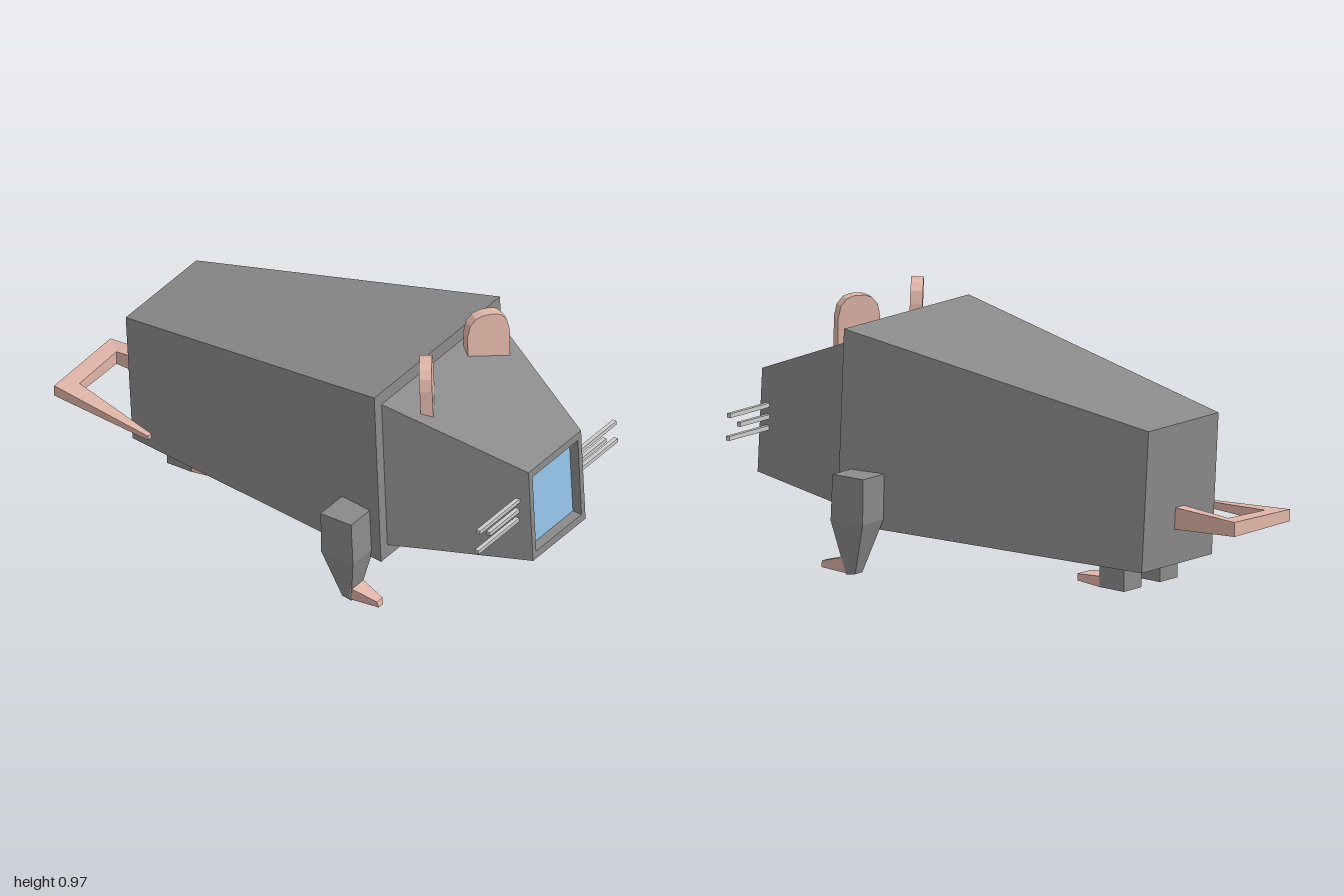
import * as THREE from 'three';

const mat = (color) => new THREE.MeshStandardMaterial({ color, flatShading: true });

// Four corners of a section: lower edge (y0, z0), upper edge (y1, z1)
const ring = (cx, hw, y0, z0, y1, z1, hwTop = hw) => [
  [cx - hw, y0, z0], [cx + hw, y0, z0], [cx + hwTop, y1, z1], [cx - hwTop, y1, z1],
];

// Flat-faced skin through four-cornered sections, capped at the start and optionally the end
function loft(sections, capEnd = true) {
  const pos = [];
  const quad = (a, b, c, d) => pos.push(...a, ...b, ...c, ...a, ...c, ...d);
  for (let k = 0; k < sections.length - 1; k++) {
    const s = sections[k], t = sections[k + 1];
    for (let i = 0; i < 4; i++) {
      const j = (i + 1) % 4;
      quad(s[i], s[j], t[j], t[i]);
    }
  }
  const [a, b, c, d] = sections[0];
  quad(d, c, b, a);
  if (capEnd) quad(...sections[sections.length - 1]);
  const geo = new THREE.BufferGeometry();
  geo.setAttribute('position', new THREE.Float32BufferAttribute(pos, 3));
  geo.computeVertexNormals();
  return geo;
}

export function createModel() {
  const model = new THREE.Group();
  model.name = 'mouse';
  const fur = mat(0x8a8a8a);
  const skin = mat(0xe0b5a8);
  const grey = mat(0xcccccc);
  const glass = mat(0x94c3e8);
  const add = (name, geo, material) => {
    const mesh = new THREE.Mesh(geo, material);
    mesh.name = name;
    model.add(mesh);
    return mesh;
  };

  // Tapered body
  add('body', loft([
    ring(0, 0.215, 0.10, -0.73, 0.62, -0.76),
    ring(0, 0.383, 0.17, 0.49, 0.88, 0.46),
  ]), fur);

  // Head with a framed recess at the front
  const recess = ring(0, 0.138, 0.29, 0.96, 0.61, 0.943);
  add('head', loft([
    ring(0, 0.343, 0.22, 0.485, 0.83, 0.458),
    ring(0, 0.16, 0.26, 1.0, 0.64, 0.98),
    ring(0, 0.138, 0.29, 0.998, 0.61, 0.982),
    recess,
  ], false), fur);

  // Blue panel closing the recess
  add('facePanel', loft([ring(0, 0.138, 0.29, 0.95, 0.61, 0.933), recess]), glass);

  // Ear outline, rounded at the top; its foot is sunk in the head
  const half = [[0.08, -0.02], [0.08, 0.125], [0.07, 0.17], [0.047, 0.196], [0.02, 0.205]];
  const outline = [...half, ...half.map(([x, y]) => [-x, y]).reverse()];
  const earGeo = new THREE.ExtrudeGeometry(
    new THREE.Shape(outline.map(([x, y]) => new THREE.Vector2(x, y))),
    { depth: 0.045, bevelEnabled: false });
  earGeo.translate(0, 0, -0.0225);

  for (const [side, s] of [['left', 1], ['right', -1]]) {
    const ear = add(side + 'Ear', earGeo, skin);
    ear.position.set(0.18 * s, 0.76, 0.55);
    ear.rotation.set(-0.04, -0.6 * s, 0, 'YXZ');

    // Whiskers, rooted inside the head
    for (const [y, tip] of [[0.512, 0.416], [0.47, 0.355], [0.43, 0.424]]) {
      const whisker = add(side + 'Whisker', new THREE.BoxGeometry(tip - 0.15, 0.016, 0.016), grey);
      whisker.position.set(s * (tip + 0.15) / 2, y, 0.943);
    }

    // Front leg tapering to the paw
    const fx = 0.425 * s;
    add(side + 'FrontLeg', loft([
      ring(fx, 0.022, 0, 0.405, 0.006, 0.365),
      ring(fx, 0.064, 0.2, 0.443, 0.2, 0.302),
      ring(fx, 0.064, 0.37, 0.435, 0.365, 0.3),
    ]), fur);
    add(side + 'FrontPaw', loft([
      ring(fx, 0.023, 0.005, 0.395, 0.065, 0.41, 0.036),
      ring(fx, 0.013, 0.013, 0.52, 0.038, 0.515, 0.017),
    ]), skin);

    // Stubby back leg and paw
    const bx = 0.11 * s;
    add(side + 'BackLeg', loft([
      ring(bx, 0.054, 0.016, -0.508, 0.01, -0.615),
      ring(bx, 0.054, 0.16, -0.505, 0.16, -0.615),
    ]), fur);
    add(side + 'BackPaw', loft([
      ring(bx, 0.054, 0.014, -0.52, 0.055, -0.52),
      ring(bx, 0.04, 0.025, -0.40, 0.05, -0.40),
    ]), skin);
  }

  // Hooked tail: inner and outer edge in plan, with lower and upper height, from tip to root
  const tail = [
    [-0.335, -0.56, -0.355, -0.56, 0.245, 0.262],
    [-0.255, -0.935, -0.32, -1, 0.235, 0.278],
    [-0.03, -0.935, 0.023, -1, 0.233, 0.286],
    [-0.03, -0.72, 0.025, -0.72, 0.23, 0.312],
  ].map(([xi, zi, xo, zo, y0, y1]) => [[xi, y0, zi], [xo, y0, zo], [xo, y1, zo], [xi, y1, zi]]);
  add('tail', loft(tail), skin);

  return model;
}
